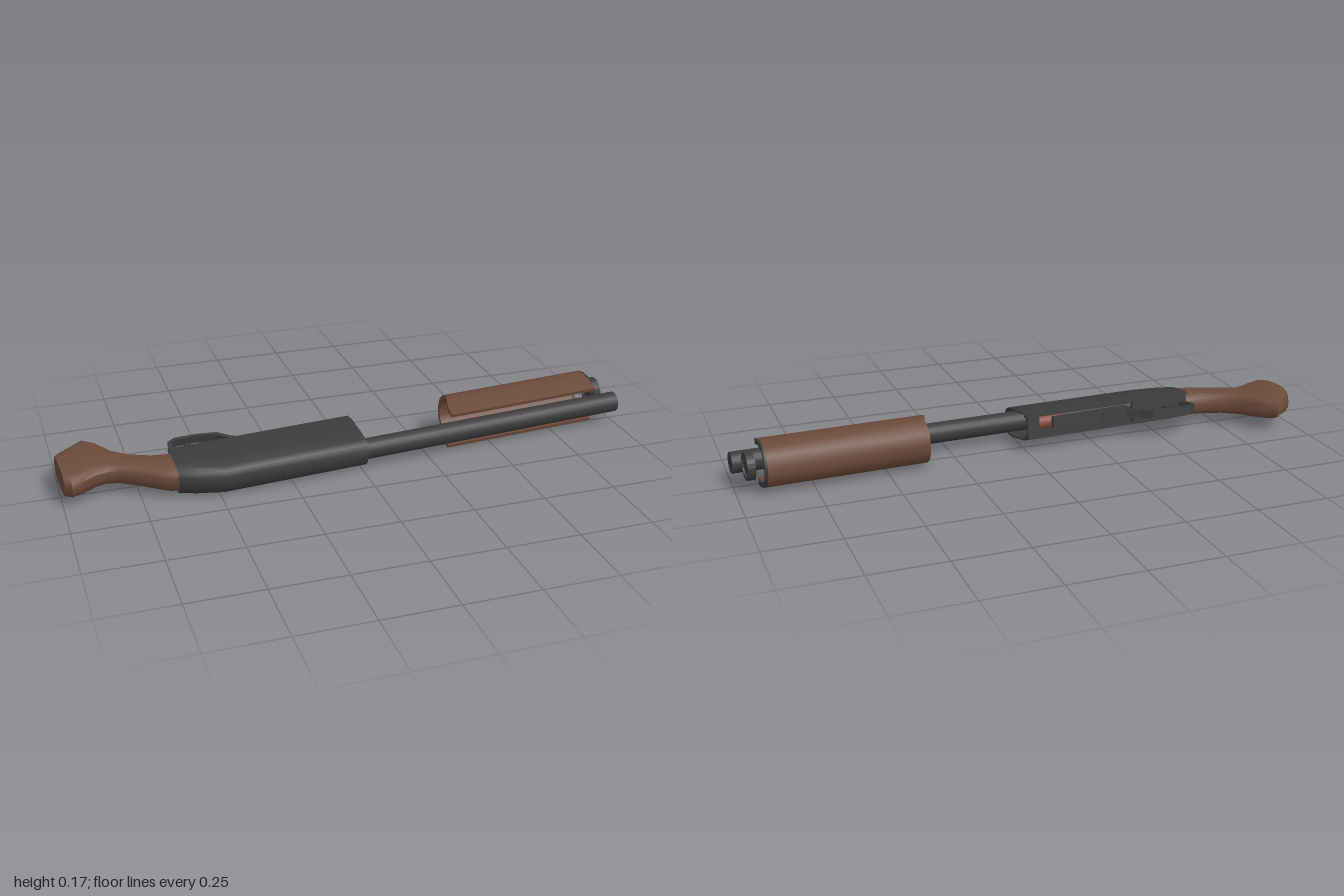
import * as THREE from 'three';
import { toCreasedNormals } from 'three/addons/utils/BufferGeometryUtils.js';

const mat = (name, color) => {
  const m = new THREE.MeshStandardMaterial({ color, side: THREE.DoubleSide });
  m.name = name;
  return m;
};

// Skin a list of cross-sections (arrays of [x, y, z]); caps are fans round the centre
function loft(rows, { closed = true, caps = true, crease = 0.7 } = {}) {
  const n = rows[0].length, pos = [];
  const tri = (...p) => p.forEach(v => pos.push(...v));
  for (let i = 0; i < rows.length - 1; i++) {
    for (let j = 0; j < (closed ? n : n - 1); j++) {
      const k = (j + 1) % n, [a, b] = [rows[i], rows[i + 1]];
      tri(a[j], b[j], b[k]);
      tri(a[j], b[k], a[k]);
    }
  }
  if (caps) [rows[0], rows[rows.length - 1]].forEach((r, end) => {
    const c = [0, 1, 2].map(d => r.reduce((s, p) => s + p[d], 0) / n);
    r.forEach((p, j) => {
      const q = r[(j + 1) % n];
      if (end) tri(c, q, p); else tri(c, p, q);
    });
  });
  const g = new THREE.BufferGeometry();
  g.setAttribute('position', new THREE.Float32BufferAttribute(pos, 3));
  return toCreasedNormals(g, crease);
}

// Mirror a half profile of [y, z] that ends on the centre line
const mirror = half => [...half, ...half.slice(0, -1).reverse().map(([y, z]) => [-y, z])];

export function createModel() {
  const wood = mat('brown wood', 0x6b4a39);
  const metal = mat('dark metal', 0x3b3b3c);
  const red = mat('dull red', 0x8a4a44);

  const gun = new THREE.Group();
  gun.name = 'shotgun';
  const add = (name, geo, material, x = 0, y = 0, z = 0) => {
    const m = new THREE.Mesh(geo, material);
    m.name = name;
    m.position.set(x, y, z);
    gun.add(m);
    return m;
  };
  const box = (name, x0, x1, w, z0, z1, material = metal, y = 0) =>
    add(name, new THREE.BoxGeometry(x1 - x0, w, z1 - z0), material, (x0 + x1) / 2, y, (z0 + z1) / 2);
  const rod = (name, x0, x1, r, z, material = metal, y = 0) =>
    add(name, new THREE.CylinderGeometry(r, r, x1 - x0, 20).rotateZ(-Math.PI / 2), material, (x0 + x1) / 2, y, z);

  // Barrel
  rod('barrel', -0.3, 1.002, 0.036, 0);

  // Receiver: arched shell, open underneath, sloping down at the rear
  const arch = mirror([[0.041, -0.145], [0.049, -0.115], [0.052, -0.03], [0.05, 0.012],
    [0.042, 0.03], [0.025, 0.042], [0, 0.046]]);
  const station = (x, top, w, grow = 0) => arch.map(([y, z]) =>
    [x, y * (w - grow), -0.145 + (z + 0.145) * (top + 0.145) / 0.191 * (1 - grow * 0.6)]);
  add('receiver', loft([
    station(-0.635, 0.005, 0.93), station(-0.58, 0.024, 0.98), station(-0.49, 0.046, 1),
    station(-0.25, 0.046, 1), station(0.012, 0.046, 1),
    station(0.012, 0.046, 1, 0.1), station(-0.55, 0.03, 0.98, 0.1),
  ], { closed: false, caps: false }), metal);

  // Underside: rear floor, front bridge, side rails, shell lifter
  box('receiverRearFloor', -0.62, -0.4, 0.08, -0.15, -0.135);
  box('receiverFrontBridge', -0.035, 0.01, 0.08, -0.148, -0.138);
  for (const s of [-1, 1]) box('receiverRail', -0.42, 0.01, 0.01, -0.147, -0.12, metal, s * 0.038);
  const lifter = box('shellLifter', -0.4, -0.1, 0.04, -0.115, -0.1);
  lifter.rotation.y = 0.05;
  rod('bolt', -0.5, -0.16, 0.03, -0.02);
  rod('shell', -0.14, -0.03, 0.024, -0.075, red);

  // Stock: lofted along its length as [x, top, bottom, half width]
  const stock = [
    [-0.612, 0.007, -0.146, 0.044], [-0.66, -0.008, -0.15, 0.045], [-0.69, -0.026, -0.158, 0.044],
    [-0.757, -0.069, -0.192, 0.042], [-0.807, -0.097, -0.24, 0.042], [-0.845, -0.105, -0.312, 0.043],
    [-0.882, -0.096, -0.345, 0.045], [-0.935, -0.073, -0.306, 0.047], [-0.965, -0.068, -0.284, 0.048],
    [-0.987, -0.085, -0.262, 0.047],
  ];
  const soft = (v, p) => Math.sign(v) * Math.abs(v) ** p;
  add('stock', loft(stock.map(([x, top, bot, w]) => Array.from({ length: 20 }, (_, i) => {
    const a = i / 20 * Math.PI * 2;
    const z = (top + bot) / 2 + (top - bot) / 2 * soft(Math.sin(a), 0.75);
    return [x, w * soft(Math.cos(a), 0.6) + 0.12 * Math.min(0, z + 0.1), z];
  }))), wood);

  // Forend: curved trough round the magazine, open on the barrel side
  const trough = (name, half, x0, x1, thin, material) => add(name, loft(mirror(half).map(([y, z]) => {
    const iy = y * thin, iz = z < -0.085 ? -0.085 + (z + 0.085) * thin : z;
    const r = x0(z);
    return [[r, y, z], [x1, y, z], [x1, iy, iz], [r, iy, iz]];
  })), material);
  const profile = [[0.07, -0.006], [0.076, -0.045], [0.077, -0.085], [0.073, -0.115],
    [0.06, -0.142], [0.034, -0.162], [0, -0.168]];
  trough('forend', profile, z => 0.342 + 0.03 * THREE.MathUtils.smoothstep(-z, 0.03, 0.13), 0.918, 0.84, wood);
  trough('forendRim', profile.slice(1), () => 0.918, 0.926, 0.8, metal);

  // Magazine cap: ring, hub and spokes
  const magZ = -0.09;
  const ring = new THREE.Shape().absarc(0, 0, 0.047, 0, Math.PI * 2);
  ring.holes.push(new THREE.Path().absarc(0, 0, 0.038, 0, Math.PI * 2));
  add('magazineRing', new THREE.ExtrudeGeometry(ring, { depth: 0.026, bevelEnabled: false, curveSegments: 10 })
    .rotateY(Math.PI / 2), metal, 0.948, 0, magZ);
  rod('magazineHub', 0.945, 0.972, 0.026, magZ);
  for (let i = 0; i < 3; i++) {
    const spoke = add('magazineSpoke', new THREE.BoxGeometry(0.014, 0.012, 0.04).translate(0, 0, 0.022), metal, 0.96, 0, magZ);
    spoke.rotation.x = i * Math.PI * 2 / 3 + 0.5;
  }

  // Trigger guard and trigger: flat outlines in the x-z plane with width across y
  const plate = (name, pts, width, hole) => {
    const s = new THREE.Shape(pts.map(p => new THREE.Vector2(...p)));
    if (hole) s.holes.push(new THREE.Path(hole.map(p => new THREE.Vector2(...p))));
    add(name, new THREE.ExtrudeGeometry(s, { depth: width, bevelEnabled: false })
      .rotateX(Math.PI / 2).translate(0, width / 2, 0), metal);
  };
  plate('triggerGuard',
    [[-0.6, -0.148], [-0.62, -0.185], [-0.612, -0.222], [-0.585, -0.238], [-0.51, -0.238], [-0.44, -0.227],
      [-0.4, -0.195], [-0.36, -0.172], [-0.28, -0.15], [-0.28, -0.145], [-0.6, -0.145]], 0.028,
    [[-0.588, -0.152], [-0.606, -0.187], [-0.6, -0.215], [-0.58, -0.225], [-0.51, -0.225], [-0.447, -0.215],
      [-0.41, -0.185], [-0.385, -0.16], [-0.41, -0.152]]);
  plate('trigger', [[-0.54, -0.145], [-0.545, -0.175], [-0.56, -0.205], [-0.55, -0.208], [-0.53, -0.178], [-0.515, -0.145]], 0.012);

  // Lay the gun on its side with a slight yaw and roll
  gun.rotation.set(0.18, 0.07, 0);
  gun.position.set(0, 0.072, 0.095);
  const model = new THREE.Group();
  model.name = 'model';
  model.add(gun);
  return model;
}
